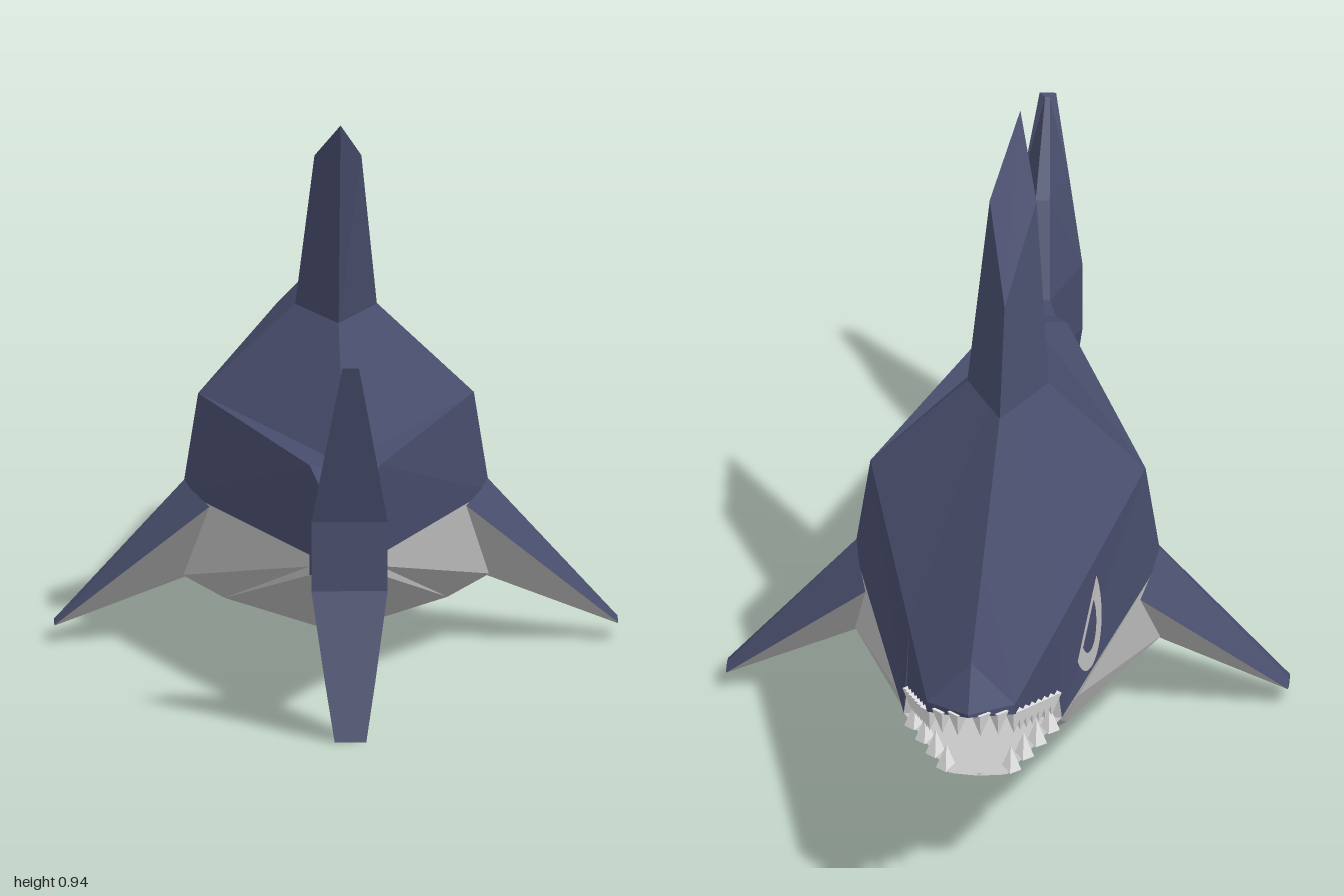
import * as THREE from 'three';

const hullBlue = new THREE.MeshStandardMaterial({ color: 0x484d6c, side: THREE.DoubleSide });
const bellyGrey = new THREE.MeshStandardMaterial({ color: 0xbebebe, side: THREE.DoubleSide });
const toothWhite = new THREE.MeshStandardMaterial({ color: 0xe2e2e2, flatShading: true });

// Faceted skin through rows of points on the +x half, mirrored to -x
function loftMirrored(name, rows, material) {
  const out = [];
  const tri = (...pts) => {
    const [a, b, c] = pts.map((p) => new THREE.Vector3(...p));
    if (b.clone().sub(a).cross(c.clone().sub(a)).length() < 1e-7) return;
    for (const p of [a, b, c]) out.push(p.x, p.y, p.z);
    for (const p of [a, c, b]) out.push(-p.x, p.y, p.z);
  };
  for (let i = 0; i < rows.length - 1; i++) {
    for (let j = 0; j < rows[i].length - 1; j++) {
      const a = rows[i][j], b = rows[i][j + 1], c = rows[i + 1][j + 1], d = rows[i + 1][j];
      tri(a, b, c);
      tri(a, c, d);
    }
  }
  const geometry = new THREE.BufferGeometry();
  geometry.setAttribute('position', new THREE.Float32BufferAttribute(out, 3));
  geometry.computeVertexNormals();
  const mesh = new THREE.Mesh(geometry, material);
  mesh.name = name;
  return mesh;
}

// Cross-section at z from [x, y] pairs
const section = (z, ...xy) => xy.map(([x, y]) => [x, y, z]);

export function createModel() {
  const model = new THREE.Group();
  model.name = 'shark';
  const add = (name, rows, material) => model.add(loftMirrored(name, rows, material));

  // Back and flanks: ridge, shoulder, lower edge, from tail to nose
  add('upperBody', [
    section(0.79, [0, 0.36], [0.018, 0.36], [0.018, 0.25]),
    section(0.715, [0, 0.367], [0.033, 0.367], [0.033, 0.252]),
    section(0.6, [0, 0.41], [0.06, 0.41], [0.06, 0.255]),
    section(0, [0, 0.645], [0.235, 0.425], [0.262, 0.255]),
    section(-0.63, [0, 0.537], [0.126, 0.416], [0.135, 0.25]),
    section(-0.63, [0, 0.537], [0.126, 0.416], [0.13, 0.29]),
    section(-0.925, [0, 0.488], [0.075, 0.412], [0.075, 0.394]),
    section(-1, [0, 0.43], [0, 0.425], [0, 0.42]),
  ], hullBlue);
  add('tailUnderside', [
    section(0.79, [0.018, 0.25], [0.018, 0.25], [0, 0.25]),
    section(0.6, [0.06, 0.255], [0.06, 0.22], [0, 0.22]),
  ], hullBlue);

  // Belly and lower jaw: lower edge, side, chine, keel
  add('belly', [
    section(0.6, [0.06, 0.255], [0.06, 0.235], [0.06, 0.22], [0, 0.22]),
    section(0, [0.262, 0.255], [0.262, 0.11], [0.19, 0.07], [0, 0.01]),
    section(-0.51, [0.159, 0.251], [0.155, 0.235], [0.135, 0.185], [0, 0.12]),
    section(-0.63, [0.135, 0.25], [0.135, 0.25], [0.132, 0.245], [0, 0.157]),
    section(-0.755, [0.05, 0.2], [0.05, 0.2], [0.04, 0.198], [0, 0.195]),
  ], bellyGrey);

  // Mouth lining: jaw floor, back wall, roof
  add('mouth', [
    section(-0.755, [0.05, 0.2], [0, 0.2]),
    section(-0.63, [0.135, 0.25], [0, 0.25]),
    section(-0.63, [0.13, 0.29], [0, 0.29]),
    section(-0.925, [0.075, 0.394], [0, 0.394]),
    section(-1, [0, 0.42], [0, 0.42]),
  ], bellyGrey);

  // Dorsal fin: trailing edge, widest line, leading edge
  const finTip = [0, 0.945, 0.31];
  add('dorsalFin', [
    [[0, 0.57, 0.172], [0.07, 0.575, 0], [0, 0.6, -0.215]],
    [finTip, [0.04, 0.86, 0.13], [0, 0.76, -0.085]],
    [finTip, finTip, finTip],
  ], hullBlue);

  // Side fins: diamond section, blue above and grey below
  const root = { lead: [0.215, 0.255, -0.138], top: [0.25, 0.285, 0], trail: [0.215, 0.255, 0.13], bottom: [0.25, 0.11, 0] };
  const tip = { lead: [0.48, 0.03, -0.03], top: [0.48, 0.036, 0], trail: [0.48, 0.03, 0.03], bottom: [0.48, 0.023, 0] };
  const pick = (names) => [root, tip].map((s) => names.map((n) => s[n]));
  add('sideFinTops', pick(['lead', 'top', 'trail']), hullBlue);
  add('sideFinUndersides', pick(['trail', 'bottom', 'lead']), bellyGrey);
  add('sideFinTips', [[tip.lead, tip.top], [tip.bottom, tip.trail]], hullBlue);

  // Tail fin: flat wide rear face tapering to a thin leading edge
  const tailRow = (y, halfWidth, rearZ, leadHalf, leadY, leadZ) => [
    [0, y, rearZ], [halfWidth, y, rearZ], [leadHalf, leadY, leadZ], [0, leadY, leadZ],
  ];
  const tailRows = [
    tailRow(0, 0.027, 0.98, 0.008, 0, 0.972),
    tailRow(0.1, 0.043, 0.954, 0.012, 0.1, 0.89),
    tailRow(0.25, 0.065, 0.915, 0.018, 0.25, 0.79),
    tailRow(0.37, 0.065, 0.915, 0.018, 0.36, 0.79),
    tailRow(0.51, 0.04, 0.957, 0.012, 0.51, 0.87),
    tailRow(0.652, 0.014, 1, 0.004, 0.648, 0.99),
  ];
  const flat = (row) => row.map(([, y, z]) => [0, y, z]);
  add('tailFin', [flat(tailRows[0]), ...tailRows, flat(tailRows[5])], hullBlue);

  // Teeth: small pyramids along the lip and the jaw
  const toothShape = new THREE.ConeGeometry(0.018, 0.045, 4);
  const addTeeth = (name, from, to, count, up) => {
    for (let i = 0; i < count; i++) {
      const p = new THREE.Vector3(...from).lerp(new THREE.Vector3(...to), (i + 0.5) / count);
      for (const side of [1, -1]) {
        const tooth = new THREE.Mesh(toothShape, toothWhite);
        tooth.position.set(p.x * side, p.y + (up ? 0.016 : -0.016), p.z);
        if (!up) tooth.rotation.x = Math.PI;
        tooth.name = name;
        model.add(tooth);
      }
    }
  };
  addTeeth('upperTooth', [0.122, 0.293, -0.63], [0.068, 0.394, -0.925], 7, false);
  addTeeth('upperFrontTooth', [0.062, 0.398, -0.93], [0.005, 0.415, -0.985], 2, false);
  addTeeth('lowerTooth', [0.125, 0.248, -0.635], [0.045, 0.2, -0.75], 4, true);

  // Eye: half discs under a slanted brow, laid onto the right flank
  const flankX = (y, z) => {
    const t = -z / 0.63, v = (y - 0.25) / 0.17;
    return THREE.MathUtils.lerp(
      THREE.MathUtils.lerp(0.262, 0.135, t), THREE.MathUtils.lerp(0.235, 0.126, t), v);
  };
  const addEyePart = (name, z, y, radius, offset, material) => {
    const brow = 0.52;
    const shape = new THREE.Shape().absarc(z, y, radius, Math.PI + brow, 2 * Math.PI + brow, false);
    const geometry = new THREE.ShapeGeometry(shape, 10);
    const pos = geometry.attributes.position;
    for (let i = 0; i < pos.count; i++) {
      const pz = pos.getX(i), py = pos.getY(i);
      pos.setXYZ(i, -flankX(py, pz) - offset, py, pz);
    }
    geometry.computeVertexNormals();
    const mesh = new THREE.Mesh(geometry, material);
    mesh.name = name;
    model.add(mesh);
  };
  addEyePart('eyeWhite', -0.455, 0.355, 0.09, 0.005, bellyGrey);
  addEyePart('pupil', -0.465, 0.35, 0.05, 0.009, hullBlue);

  return model;
}
